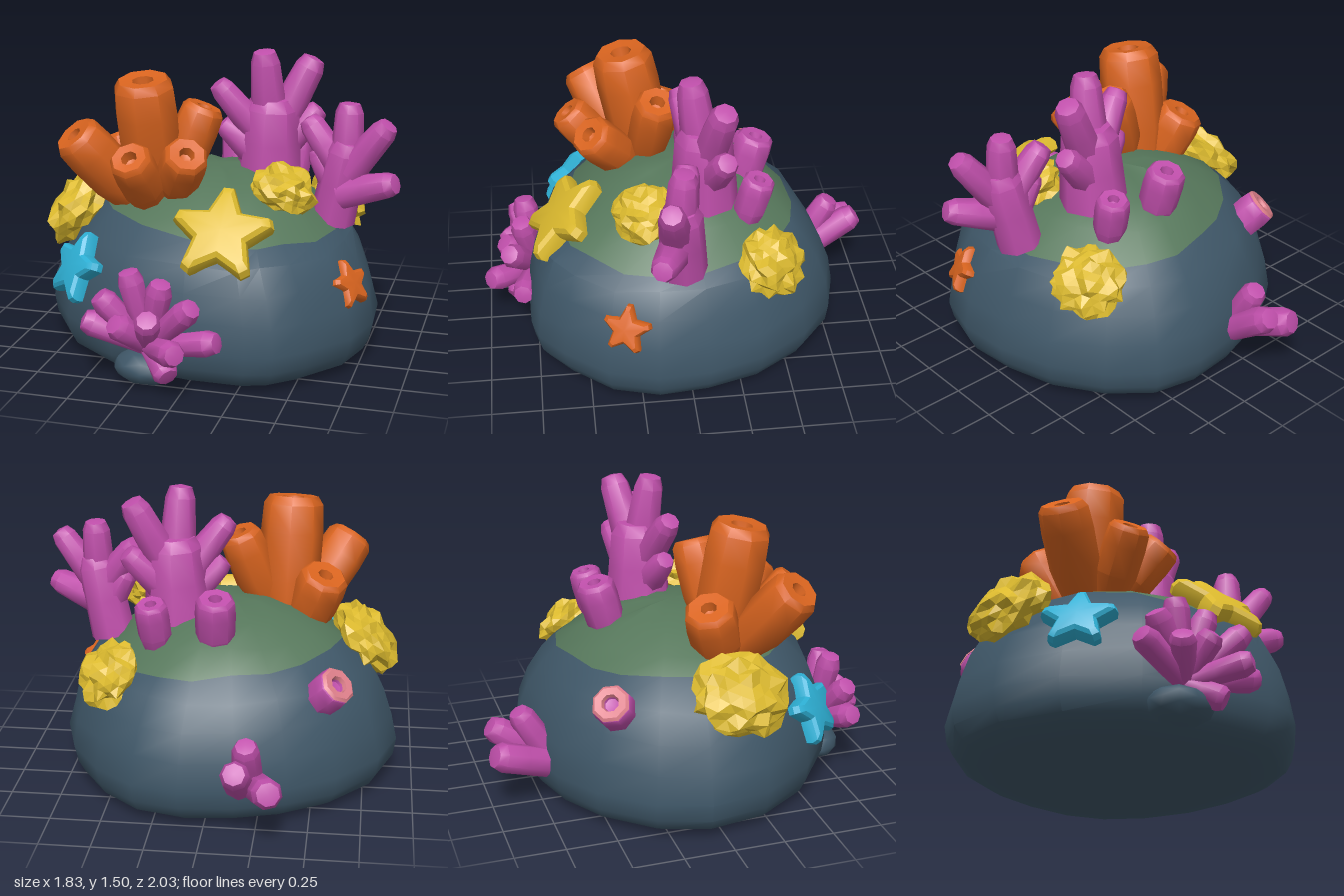
import * as THREE from 'three';
import { toCreasedNormals } from 'three/addons/utils/BufferGeometryUtils.js';

const mat = (name, color) => {
  const m = new THREE.MeshStandardMaterial({ color });
  m.name = name;
  return m;
};
const V = (a) => new THREE.Vector3(...a);
const UP = new THREE.Vector3(0, 1, 0);

// small seeded random
function seeded(seed) {
  let s = seed;
  return () => (s = (s * 16807) % 2147483647) / 2147483647;
}

function mesh(name, geo, material) {
  const m = new THREE.Mesh(geo, material);
  m.name = name;
  return m;
}

// lathe standing between two points; profile = [radius, height 0..1]
function latheBetween(name, from, to, profile, sides, material) {
  const a = V(from), d = V(to).sub(a), len = d.length();
  const pts = profile.map(([r, h]) => new THREE.Vector2(r, h * len));
  const m = mesh(name, toCreasedNormals(new THREE.LatheGeometry(pts, sides), 0.8), material);
  m.position.copy(a);
  m.quaternion.setFromUnitVectors(UP, d.normalize());
  return m;
}

// solid branch with a blunt rounded tip
const branch = (from, to, r0, r1, material) => latheBetween('branch', from, to,
  [[0, 0], [r0, 0.01], [(r0 + r1) / 2, 0.45], [r1, 0.84], [r1 * 0.75, 0.97], [0, 1]], 8, material);

// hollow tube with a bulging wall and a narrow mouth
const tube = (name, from, to, r, hole, material) => latheBetween(name, from, to,
  [[0, 0], [r * 0.75, 0], [r * 0.97, 0.3], [r, 0.7], [r * 0.95, 0.93], [r * 0.78, 1], [hole, 0.99], [hole * 0.75, 0.85], [0, 0.82]],
  8, material);

// mound built from scaled copies of one plan outline
function mound(rockMat, mossMat) {
  const outline = [[0.12, -0.81], [0.35, -0.75], [0.55, -0.59], [0.71, -0.35], [0.79, -0.08], [0.81, 0.18],
    [0.74, 0.42], [0.57, 0.63], [0.43, 0.75], [0.3, 0.79], [0.0, 0.79], [-0.39, 0.72], [-0.69, 0.5], [-0.87, 0.22],
    [-0.92, -0.08], [-0.83, -0.33], [-0.63, -0.57], [-0.4, -0.71], [-0.15, -0.78]];
  // [height, scale, extra bulge towards the front]
  const rings = [[0, 0.74, 0], [0.015, 0.87, 0], [0.05, 0.94, 0], [0.11, 0.98, 0], [0.2, 1, 0], [0.34, 0.975, 0.01],
    [0.48, 0.915, 0.03], [0.6, 0.83, 0.06], [0.69, 0.72, 0.02], [0.79, 0.56, 0], [0.86, 0.4, 0], [0.905, 0.2, 0]];
  const capRing = 8, n = outline.length, cx = -0.04, cz = 0, rand = seeded(11);
  const pos = [], idx = [];
  rings.forEach(([y, s, front], i) => outline.forEach(([x, z]) => {
    const rough = i > 4 ? 0.025 : 0.01;
    // the moss edge dips and widens towards +x
    const lean = i === capRing ? x : 0;
    const k = s * (1 - rough * rand() + 0.06 * lean);
    const dy = i > 4 ? (rand() - 0.5) * 0.025 - 0.05 * lean : 0;
    pos.push(cx + (x - cx) * k, y + dy, cz + (z - cz) * (k + (z > 0 ? front : 0)));
  }));
  pos.push(cx, 0, cz, cx, 0.92, cz);
  const bottom = rings.length * n, top = bottom + 1;
  for (let j = 0; j < n; j++) idx.push(bottom, j, (j + 1) % n);
  let split = 0;
  for (let i = 0; i < rings.length - 1; i++) {
    if (i === capRing) split = idx.length;
    for (let j = 0; j < n; j++) {
      const a = i * n + j, b = i * n + (j + 1) % n, c = a + n, d = b + n;
      idx.push(a, c, b, b, c, d);
    }
  }
  const last = (rings.length - 1) * n;
  for (let j = 0; j < n; j++) idx.push(last + j, top, last + (j + 1) % n);
  const g = new THREE.BufferGeometry();
  g.setAttribute('position', new THREE.Float32BufferAttribute(pos, 3));
  g.setIndex(idx);
  g.addGroup(0, split, 0);
  g.addGroup(split, idx.length - split, 1);
  return mesh('rockMound', toCreasedNormals(g, 0.6), [rockMat, mossMat]);
}

// puffed five-armed star with blunt tips, lying in its own xy plane, facing +z
function star(name, center, normal, r, thick, spin, material) {
  // outline: two points per blunt tip, one per notch
  const outline = [];
  for (let i = 0; i < 5; i++) {
    const a = Math.PI / 2 + i * Math.PI * 0.4;
    outline.push([a - 0.1, r], [a + 0.1, r], [a + Math.PI / 5, r * 0.56]);
  }
  // layers: [scale, z]
  const layers = [[0.78, thick], [0.94, thick * 0.65], [1, 0], [0.96, -thick * 0.7]];
  const pos = [0, 0, thick * 1.2, 0, 0, -thick * 0.7], idx = [], n = outline.length, L = layers.length;
  outline.forEach(([a, q]) => layers.forEach(([s, z]) => pos.push(Math.cos(a) * q * s, Math.sin(a) * q * s, z)));
  for (let i = 0; i < n; i++) {
    const a = 2 + i * L, b = 2 + ((i + 1) % n) * L;
    idx.push(0, a, b, 1, b + L - 1, a + L - 1);
    for (let k = 0; k < L - 1; k++) idx.push(a + k, a + k + 1, b + k, b + k, a + k + 1, b + k + 1);
  }
  const g = new THREE.BufferGeometry();
  g.setAttribute('position', new THREE.Float32BufferAttribute(pos, 3));
  g.setIndex(idx);
  const m = mesh(name, toCreasedNormals(g, 0.5), material);
  m.position.set(...center);
  m.lookAt(V(center).add(V(normal)));
  m.rotateZ(spin);
  return m;
}

// crumpled, flattened lump
function lump(name, center, normal, size, seed, material) {
  const g = new THREE.IcosahedronGeometry(1, 3), p = g.attributes.position, seen = new Map();
  const rand = seeded(seed), v = new THREE.Vector3();
  for (let i = 0; i < p.count; i++) {
    v.fromBufferAttribute(p, i);
    const key = v.toArray().map((c) => Math.round(c * 100) + 0).join();
    if (!seen.has(key)) seen.set(key, 0.78 + 0.34 * rand());
    v.multiplyScalar(seen.get(key));
    p.setXYZ(i, v.x * size[0], v.y * size[1], v.z * size[2]);
  }
  g.computeVertexNormals();
  const m = mesh(name, g, material);
  m.position.set(...center);
  m.quaternion.setFromUnitVectors(UP, V(normal).normalize());
  return m;
}

// branches given as [from, to, base radius, tip radius]
function coral(name, list, material) {
  const g = new THREE.Group();
  g.name = name;
  list.forEach(([a, b, r0, r1]) => g.add(branch(a, b, r0, r1, material)));
  return g;
}

export function createModel() {
  const rock = mat('slateRock', 0x3f5768), moss = mat('mossGreen', 0x56775b);
  const orange = mat('orange', 0xd9641f), magenta = mat('magenta', 0xc04fab);
  const yellow = mat('yellow', 0xdcba2e), cyan = mat('cyan', 0x2eb1d6), pink = mat('pink', 0xdd7f8a);
  const model = new THREE.Group();
  model.name = 'coralReef';

  // rock base
  model.add(mound(rock, moss));
  const pebble = mesh('smallRock', toCreasedNormals(new THREE.IcosahedronGeometry(1, 1), 0.8), rock);
  pebble.scale.set(0.17, 0.09, 0.14);
  pebble.position.set(-0.19, 0.09, 0.72);
  model.add(pebble);

  // orange tube sponges
  [[[-0.33, 0.78, 0.14], [-0.35, 1.38, 0.25], 0.16, 0.055],
    [[-0.42, 0.79, 0.24], [-0.65, 1.13, 0.43], 0.13, 0.04],
    [[-0.3, 0.79, 0.31], [-0.33, 1.06, 0.54], 0.11, 0.04],
    [[-0.2, 0.83, 0.25], [-0.07, 1.07, 0.44], 0.115, 0.04],
    [[-0.22, 0.86, 0.14], [-0.08, 1.23, 0.09], 0.115, 0.04],
    [[-0.42, 0.74, 0.12], [-0.53, 1.04, 0.02], 0.13, 0.04],
  ].forEach(([a, b, r, h]) => model.add(tube('tubeSponge', a, b, r, h, orange)));

  // tall branching corals
  model.add(coral('topCoral', [
    [[0.2, 0.83, -0.11], [0.22, 1.26, -0.1], 0.17, 0.14],
    [[0.21, 1.08, -0.1], [0.19, 1.5, -0.04], 0.1, 0.075],
    [[0.25, 1.1, -0.12], [0.42, 1.45, -0.18], 0.09, 0.075],
    [[0.16, 1.06, -0.08], [-0.05, 1.33, -0.01], 0.085, 0.065],
    [[0.24, 0.97, -0.13], [0.45, 1.19, -0.19], 0.09, 0.065],
    [[0.16, 0.94, -0.08], [-0.03, 1.12, -0.03], 0.09, 0.06],
  ], magenta));
  model.add(coral('sideCoral', [
    [[0.56, 0.67, 0.03], [0.65, 1.1, 0.06], 0.115, 0.105],
    [[0.63, 0.95, 0.06], [0.64, 1.28, 0.04], 0.085, 0.07],
    [[0.65, 0.94, 0.08], [0.85, 1.2, 0.12], 0.08, 0.065],
    [[0.62, 0.83, 0.08], [0.9, 0.92, 0.17], 0.085, 0.065],
    [[0.61, 0.93, 0.05], [0.42, 1.18, 0.0], 0.08, 0.065],
    [[0.58, 0.85, 0.04], [0.47, 1.03, 0.02], 0.08, 0.06],
  ], magenta));

  // front coral fan
  const root = [-0.18, 0.2, 0.74];
  model.add(coral('frontCoral', [[-0.26, 0.59, 0.79], [-0.09, 0.55, 0.81], [-0.4, 0.47, 0.83], [-0.48, 0.34, 0.83],
    [-0.3, 0.36, 0.9], [-0.13, 0.4, 0.91], [0.08, 0.47, 0.88], [0.19, 0.28, 0.82], [0.03, 0.27, 0.99], [-0.04, 0.1, 0.87],
  ].map((tip) => [root, tip, 0.05, 0.065]), magenta));

  // back coral
  model.add(coral('backCoral', [
    [[-0.26, 0.21, -0.72], [-0.33, 0.32, -1.0], 0.075, 0.075],
    [[-0.17, 0.22, -0.72], [-0.17, 0.41, -0.99], 0.075, 0.07],
    [[-0.21, 0.26, -0.72], [-0.21, 0.49, -0.85], 0.075, 0.065],
  ], magenta));

  // magenta tubes, one with a pink rim
  model.add(tube('backTube', [-0.01, 0.75, -0.32], [-0.02, 1.04, -0.4], 0.1, 0.035, magenta));
  model.add(tube('backTube', [0.28, 0.74, -0.31], [0.3, 0.99, -0.37], 0.085, 0.03, magenta));
  model.add(tube('pinkTube', [-0.5, 0.52, -0.4], [-0.62, 0.66, -0.49], 0.1, 0.045, magenta));
  model.add(latheBetween('pinkRim', [-0.5, 0.52, -0.4], [-0.623, 0.663, -0.492],
    [[0.094, 0.95], [0.08, 1.01], [0.044, 1.0], [0.037, 0.9]], 8, pink));

  // yellow lumps
  model.add(lump('yellowCoral', [-0.74, 0.67, 0.12], [-0.8, 0.6, 0.1], [0.21, 0.13, 0.24], 5, yellow));
  model.add(lump('yellowCoral', [0.35, 0.86, 0.2], [0.3, 0.9, 0.2], [0.165, 0.11, 0.16], 17, yellow));
  model.add(lump('yellowCoral', [0.5, 0.63, -0.41], [0.6, 0.6, -0.5], [0.175, 0.11, 0.18], 29, yellow));

  // sea stars
  model.add(star('yellowStar', [0.14, 0.73, 0.59], [0.08, 0.7, 0.7], 0.25, 0.055, -0.06, yellow));
  model.add(star('cyanStar', [-0.61, 0.48, 0.53], [-0.62, 0.45, 0.66], 0.185, 0.045, -0.03, cyan));
  model.add(star('orangeStar', [0.7, 0.44, 0.32], [0.82, 0.45, 0.4], 0.125, 0.04, 0, orange));
  return model;
}
